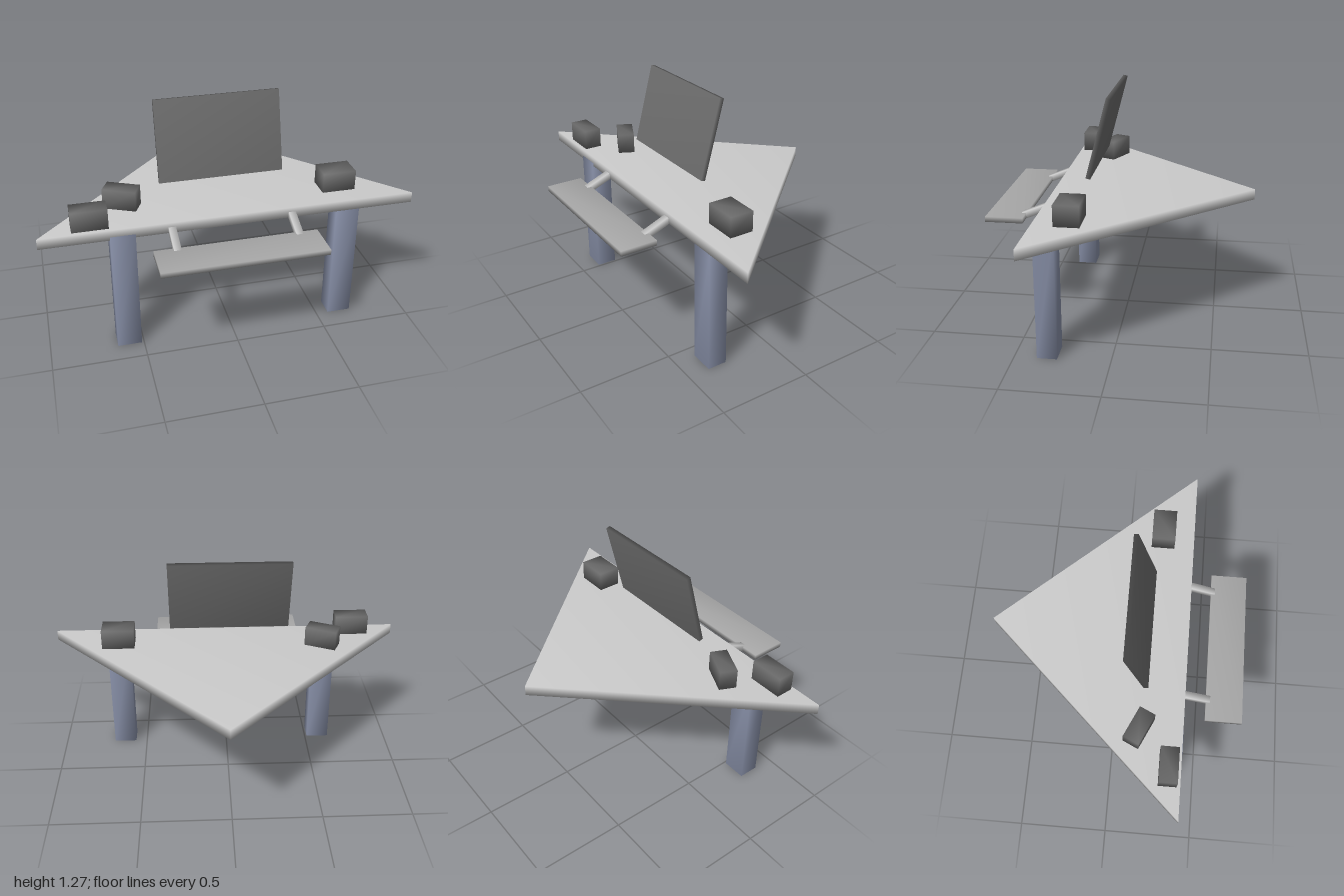
import * as THREE from 'three';
import { mergeVertices } from 'three/addons/utils/BufferGeometryUtils.js';

const material = (color) => new THREE.MeshStandardMaterial({ color });

// Weld corners so the shading runs softly across the edges
function soften(geometry) {
  geometry.deleteAttribute('normal');
  geometry.deleteAttribute('uv');
  const welded = mergeVertices(geometry, 1e-4);
  welded.computeVertexNormals();
  return welded;
}

export function createModel() {
  const group = new THREE.Group();
  const grey = material(0xcccccc);
  const trayGrey = material(0xa6a6a6);
  const darkGrey = material(0x6c6c6c);
  const legBlue = material(0x8890a8);

  function add(name, geometry, mat) {
    const mesh = new THREE.Mesh(soften(geometry), mat);
    mesh.name = name;
    group.add(mesh);
    return mesh;
  }

  function box(name, size, position, mat) {
    const mesh = add(name, new THREE.BoxGeometry(...size), mat);
    mesh.position.set(...position);
    return mesh;
  }

  // Triangular desk top, drawn in plan as (x, z)
  const plan = new THREE.Shape([
    new THREE.Vector2(-1, 0.385),
    new THREE.Vector2(1, 0.385),
    new THREE.Vector2(0.02, -0.7),
  ]);
  const top = new THREE.ExtrudeGeometry(plan, { depth: 0.058, bevelEnabled: false });
  top.rotateX(Math.PI / 2);
  top.translate(0, 0.73, 0);
  add('deskTop', top, grey);

  // Two square legs under the front edge
  box('rightLeg', [0.13, 0.69, 0.112], [-0.577, 0.345, 0.334], legBlue);
  box('leftLeg', [0.13, 0.68, 0.105], [0.633, 0.34, 0.329], legBlue);

  // Screen leaning back
  const screen = box('screen', [0.67, 0.435, 0.025], [-0.013, 1.06, 0.115], darkGrey);
  screen.rotation.x = -0.256;

  // Speakers and small box on the desk
  box('outerSpeaker', [0.187, 0.11, 0.097], [-0.735, 0.785, 0.317], darkGrey);
  const turned = box('innerSpeaker', [0.18, 0.11, 0.092], [-0.546, 0.785, 0.15], darkGrey);
  turned.rotation.y = -0.44;
  box('leftSpeaker', [0.183, 0.11, 0.13], [0.62, 0.785, 0.208], darkGrey);

  // Keyboard tray hung from two sloping arms
  box('keyboardTray', [0.86, 0.029, 0.2], [-0.014, 0.637, 0.602], trayGrey);
  for (const [name, x] of [['rightTrayArm', -0.324], ['leftTrayArm', 0.316]]) {
    const arm = box(name, [0.038, 0.037, 0.16], [x, 0.66, 0.456], grey);
    arm.rotation.x = 0.39;
  }

  return group;
}
